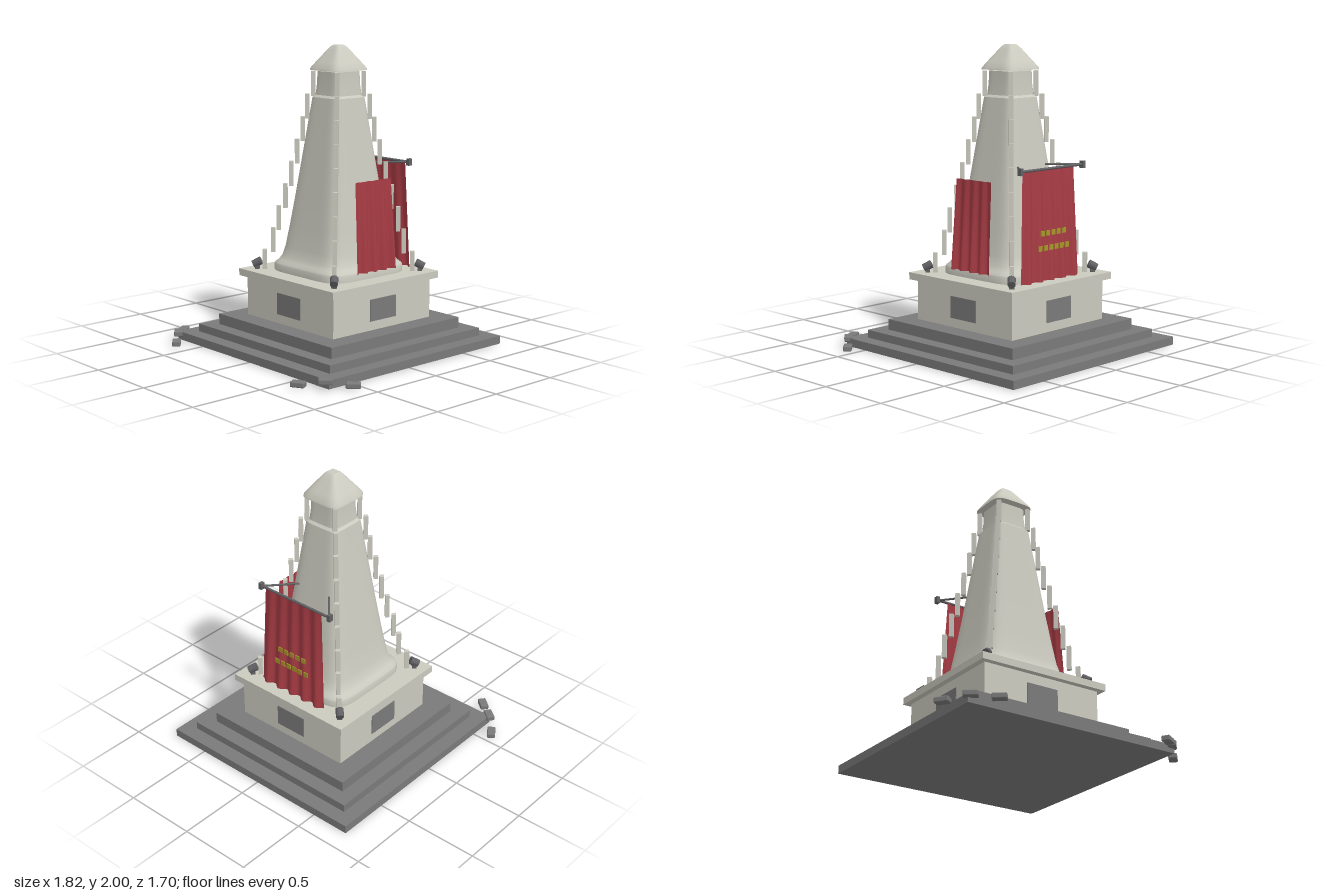
import * as THREE from 'three';
import { toCreasedNormals } from 'three/addons/utils/BufferGeometryUtils.js';
import { RoundedBoxGeometry } from 'three/addons/geometries/RoundedBoxGeometry.js';

const mat = (name, color, extra = {}) => {
  const m = new THREE.MeshStandardMaterial({ color, ...extra });
  m.name = name;
  return m;
};

// Rounded-square loft through [height, halfWidth] rings
function loft(profile, power, segs = 64) {
  const pos = [], idx = [];
  const soft = v => Math.sign(v) * Math.pow(Math.abs(v), 2 / power);
  for (const [y, w] of profile)
    for (let j = 0; j < segs; j++) {
      const t = (j / segs) * Math.PI * 2;
      // spread the points so that the corners stay round
      const c = Math.cos(t), s = Math.sin(t);
      const k = Math.pow(Math.abs(c) ** power + Math.abs(s) ** power, -1 / power);
      pos.push(c * k * w, y, s * k * w);
    }
  for (let i = 0; i < profile.length - 1; i++)
    for (let j = 0; j < segs; j++) {
      const n = (j + 1) % segs, a = i * segs + j, b = i * segs + n;
      if (profile[i][1] > 0) idx.push(a, a + segs, b);
      if (profile[i + 1][1] > 0) idx.push(b, a + segs, b + segs);
    }
  const g = new THREE.BufferGeometry();
  g.setAttribute('position', new THREE.Float32BufferAttribute(pos, 3));
  g.setIndex(idx);
  return toCreasedNormals(g, 0.6);
}

// Hanging cloth with folds, wider and deeper toward the hem, facing +z
function cloth(topW, hemW, top, hem, zTop, zHem, folds) {
  const g = new THREE.PlaneGeometry(1, 1, 48, 10);
  const p = g.attributes.position;
  for (let i = 0; i < p.count; i++) {
    const u = p.getX(i), d = 0.5 - p.getY(i);
    const wave = Math.cos(u * folds * Math.PI * 2) * (0.005 + 0.011 * d);
    p.setXYZ(i, u * (topW + (hemW - topW) * d), top + (hem - top) * d, zTop + (zHem - zTop) * d + wave);
  }
  g.computeVertexNormals();
  return g;
}

export function createModel() {
  const stone = mat('pale stone', 0xcbcabf);
  const granite = mat('grey granite', 0x7a7a7a);
  const metal = mat('dark metal', 0x626265);
  const red = mat('red cloth', 0xa83c44, { side: THREE.DoubleSide });
  const gold = mat('gold', 0xa8962a);

  const model = new THREE.Group();
  model.name = 'monument';
  const core = new THREE.Group();
  core.name = 'tower';
  core.position.z = -0.085;
  model.add(core);

  const add = (name, geo, m, parent = core, x = 0, y = 0, z = 0) => {
    const mesh = new THREE.Mesh(geo, m);
    mesh.name = name;
    mesh.position.set(x, y, z);
    parent.add(mesh);
    return mesh;
  };
  const slab = (name, half, y0, y1, m) =>
    add(name, new THREE.BoxGeometry(half * 2, y1 - y0, half * 2), m, core, 0, (y0 + y1) / 2, 0);
  // Round bar between two points
  const bar = (name, a, b, r) => {
    const A = new THREE.Vector3(...a), B = new THREE.Vector3(...b);
    const mesh = add(name, new THREE.CylinderGeometry(r, r, A.distanceTo(B), 10), metal);
    mesh.position.copy(A).add(B).multiplyScalar(0.5);
    mesh.quaternion.setFromUnitVectors(new THREE.Vector3(0, 1, 0), B.sub(A).normalize());
  };

  // Steps and plinth
  slab('lowerStep', 0.77, 0, 0.055, granite);
  slab('middleStep', 0.67, 0.055, 0.108, granite);
  slab('upperStep', 0.572, 0.108, 0.18, granite);
  slab('plinth', 0.433, 0.18, 0.45, stone);
  slab('plinthCap', 0.473, 0.45, 0.497, stone);

  // A dark plaque on each plinth side
  for (let i = 0; i < 4; i++) {
    const a = (i * Math.PI) / 2;
    const p = add('plaque', new THREE.BoxGeometry(0.232, 0.145, 0.008), granite, core,
      Math.sin(a) * 0.434, 0.313, Math.cos(a) * 0.434);
    p.rotation.y = a;
  }

  // Tapering shaft, neck and pointed roof
  add('shaft', loft([[0.497, 0], [0.497, 0.34], [0.54, 0.34], [0.552, 0.335], [0.57, 0.315], [0.6, 0.297],
    [0.66, 0.281], [0.8, 0.258], [1, 0.228], [1.2, 0.2], [1.4, 0.172], [1.55, 0.151], [1.66, 0.136],
    [1.675, 0.12], [1.75, 0.112], [1.83, 0.11], [1.83, 0]], 6), stone);
  add('roof', loft([[1.838, 0], [1.838, 0.153], [1.85, 0.15], [1.89, 0.121], [1.93, 0.09],
    [1.97, 0.06], [1.99, 0.043], [2, 0.03], [2, 0]], 5), stone);

  // Stepped ribs and floodlights on the four corners
  const ribX = [0.118, 0.146, 0.167, 0.194, 0.222, 0.25, 0.282, 0.309, 0.35];
  for (const sx of [-1, 1])
    for (const sz of [-1, 1]) {
      ribX.forEach((d, i) => {
        const h = i === 8 ? 0.135 : 0.165;
        const rib = add('rib', new THREE.BoxGeometry(0.029, h, 0.029), stone, core,
          sx * d, 1.83 - 0.15 * i - h / 2, sz * d);
        rib.rotation.y = Math.PI / 4;
      });
      const lamp = new THREE.Group();
      lamp.name = 'floodlight';
      lamp.position.set(sx * 0.387, 0.497, sz * 0.385);
      lamp.rotation.y = Math.atan2(-sx, -sz);
      core.add(lamp);
      add('lampFoot', new THREE.BoxGeometry(0.035, 0.03, 0.03), metal, lamp, 0, 0.015, 0);
      const head = add('lampHead', new THREE.CylinderGeometry(0.028, 0.026, 0.06, 10), metal, lamp, 0, 0.043, 0);
      head.rotation.x = 1.1;
    }

  // Side banner
  const side = add('sideBanner', cloth(0.315, 0.345, 1.14, 0.545, 0.332, 0.36, 4), red);
  side.rotation.y = Math.PI / 2;

  // Back banner with its rod, struts and end blocks
  const rodZ = -0.37, rodY = 1.222;
  bar('bannerRod', [-0.3, rodY, rodZ], [0.3, rodY, rodZ], 0.009);
  for (const s of [-1, 1]) {
    bar('rodStrut', [s * 0.285, rodY, rodZ], [s * 0.11, rodY, -0.17], 0.007);
    add('rodEnd', new THREE.BoxGeometry(0.024, 0.046, 0.032), metal, core, s * 0.293, rodY, rodZ);
  }
  const back = add('backBanner', cloth(0.48, 0.54, 1.215, 0.505, 0.365, 0.395, 5), red, core, 0.025);
  back.rotation.y = Math.PI;

  // Plain gold dashes on the back banner
  for (const [y, n, z] of [[0.815, 5, -0.397], [0.72, 6, -0.402]])
    for (let i = 0; i < n; i++)
      add('goldDash', new THREE.BoxGeometry(0.034, 0.034, 0.006), gold, core,
        (i - (n - 1) / 2) * 0.05 + 0.015, y, z);

  // Loose blocks at the two front corners: x, y, z, turn
  const blocks = [
    [-0.868, 0.024, 0.57, -0.98], [-0.757, 0.048, 0.695, -0.65], [-0.63, 0.024, 0.802, -0.68],
    [0.86, 0.024, 0.567, 0.8], [0.748, 0.048, 0.692, 0.85], [0.62, 0.024, 0.8, 0.5],
  ];
  for (const [x, y, z, turn] of blocks)
    add('looseBlock', new RoundedBoxGeometry(0.092, 0.036, 0.056, 2, 0.008), granite, model, x, y, z).rotation.y = turn;

  return model;
}
